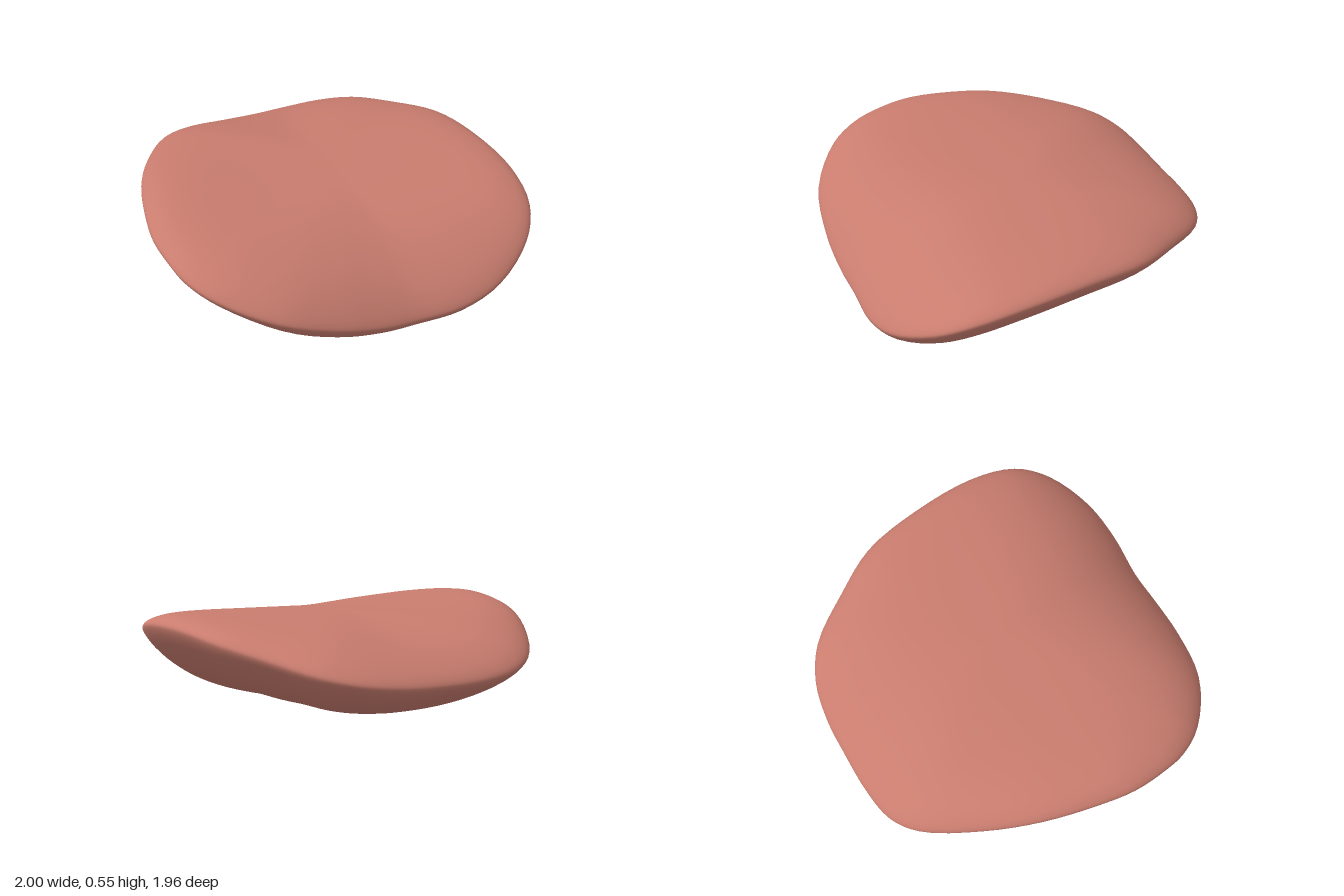
import * as THREE from 'three';

// Rim of the pad, counter-clockwise seen from above, starting at the front
const RIM = [
  [0.15, 0.13, 0.963], [0.4, 0.145, 0.975], [0.63, 0.205, 0.935], [0.85, 0.31, 0.8],
  [0.96, 0.39, 0.63], [1, 0.44, 0.37], [0.975, 0.45, 0], [0.91, 0.42, -0.33],
  [0.77, 0.37, -0.58], [0.6, 0.31, -0.82], [0.42, 0.27, -0.93], [0.2, 0.245, -0.975],
  [0, 0.24, -0.98], [-0.25, 0.25, -0.975], [-0.45, 0.28, -0.94], [-0.6, 0.325, -0.84],
  [-0.78, 0.4, -0.56], [-0.9, 0.455, -0.28], [-0.97, 0.475, 0], [-1, 0.475, 0.22],
  [-0.985, 0.46, 0.4], [-0.95, 0.435, 0.55], [-0.85, 0.395, 0.71], [-0.6, 0.305, 0.89],
  [-0.3, 0.21, 0.957], [-0.05, 0.15, 0.968],
].map((p) => new THREE.Vector3(...p));

const SEGMENTS = 104;
const RINGS = 56;
const CENTRE_X = 0.08;
const TOP = 0.452;
const BOTTOM = 0.08;
const ROUND = 0.065; // rounding of the edge

// Point on the skin: t is the share of the way to the rim, side is +1 above and -1 below
function skinPoint(rim, t, side) {
  const x = CENTRE_X + (rim.x - CENTRE_X) * t;
  const z = rim.z * t;
  const dx = rim.x - CENTRE_X;
  const s = (dx * dx) / (dx * dx + rim.z * rim.z); // 1 at the sides, 0 at front and back
  const edge = ROUND * Math.sqrt(Math.max(0, 1 - t ** 8));
  if (side > 0) {
    const w = s * (2 - s);
    const q = 3 * w + (rim.z > 0 ? 2.7 : 2.2) * (1 - w);
    const lift = (0.03 * x * x - 0.02 * x) * (1 - t ** 8);
    return [x, TOP + (rim.y - TOP) * t ** q + edge + lift, z];
  }
  const w = 1 - (1 - s) ** 3;
  const p = (rim.x < CENTRE_X ? 2.1 : 2.4) * w + (rim.z > 0 ? 9 : 4) * (1 - w);
  return [x, BOTTOM + (rim.y - BOTTOM) * t ** p - edge - 0.022 * z * (1 - t ** 10), z];
}

function padGeometry() {
  const curve = new THREE.CatmullRomCurve3(RIM, true, 'centripetal');
  const rims = Array.from({ length: SEGMENTS }, (_, j) => curve.getPoint(j / SEGMENTS));
  const positions = [];
  const index = [];

  // Rings from the top centre over the rim to the bottom centre
  positions.push(...skinPoint(rims[0], 0, 1));
  for (let i = 1; i < RINGS; i++) {
    const a = (i / RINGS) * Math.PI;
    for (const rim of rims) positions.push(...skinPoint(rim, Math.sin(a), i <= RINGS / 2 ? 1 : -1));
  }
  positions.push(...skinPoint(rims[0], 0, -1));

  const last = positions.length / 3 - 1;
  const at = (i, j) => 1 + (i - 1) * SEGMENTS + (j % SEGMENTS);
  for (let j = 0; j < SEGMENTS; j++) {
    index.push(0, at(1, j), at(1, j + 1));
    for (let i = 1; i < RINGS - 1; i++) {
      index.push(at(i, j), at(i + 1, j), at(i + 1, j + 1));
      index.push(at(i, j), at(i + 1, j + 1), at(i, j + 1));
    }
    index.push(at(RINGS - 1, j), last, at(RINGS - 1, j + 1));
  }

  const geometry = new THREE.BufferGeometry();
  geometry.setAttribute('position', new THREE.Float32BufferAttribute(positions, 3));
  geometry.setIndex(index);
  geometry.computeVertexNormals();
  return geometry;
}

export function createModel() {
  const group = new THREE.Group();
  group.name = 'curvedPad';

  const clay = new THREE.MeshStandardMaterial({ color: 0xc87c6e });
  clay.name = 'rosy clay';

  const body = new THREE.Mesh(padGeometry(), clay);
  body.name = 'padBody';
  group.add(body);
  return group;
}
